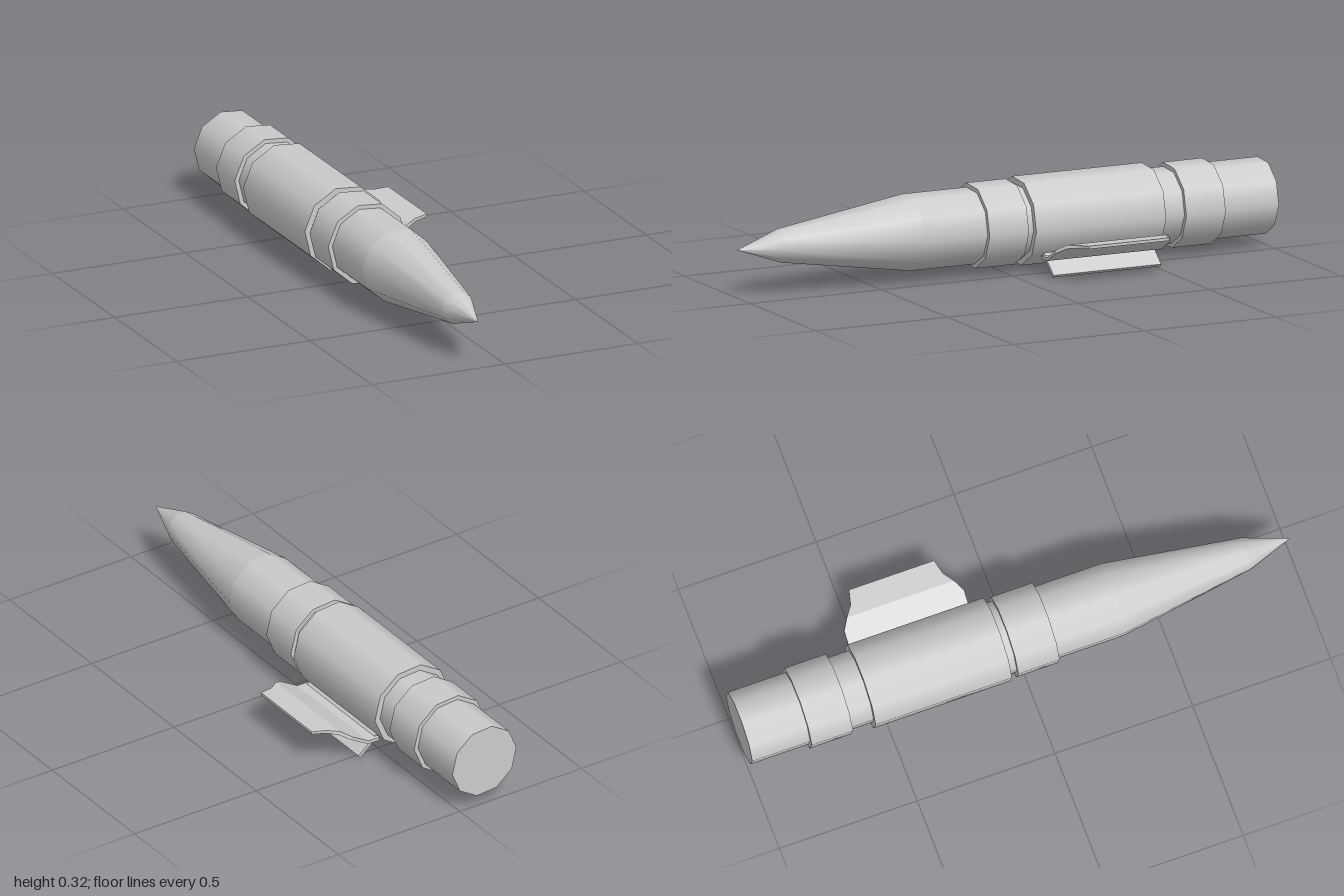
import * as THREE from 'three';

const material = new THREE.MeshStandardMaterial({ color: 0xcccccc });
const SIDES = 10;
const START = THREE.MathUtils.degToRad(85.5); // roll of the ten-sided body

// Ten-sided section along z, from zBack to zFront
function section(name, rBack, rFront, zBack, zFront, open = false) {
  const geo = new THREE.CylinderGeometry(rFront, rBack, zFront - zBack, SIDES, 1, open, START);
  geo.rotateX(Math.PI / 2);
  geo.translate(0, 0, (zFront + zBack) / 2);
  const mesh = new THREE.Mesh(geo, material);
  mesh.name = name;
  return mesh;
}

// Thin plate lofted through stations [xTop, yTop, xBottom, yBottom, zBack, zFront]
function plate(name, stations) {
  const rings = stations.map(([xt, yt, xb, yb, z0, z1]) => [
    [xt, yt, z0], [xt, yt, z1], [xb, yb, z1], [xb, yb, z0],
  ]);
  const pos = [];
  const quad = (a, b, c, d) => [a, b, c, a, c, d].forEach((p) => pos.push(...p));
  for (let i = 0; i < rings.length - 1; i++) {
    for (let k = 0; k < 4; k++) {
      const n = (k + 1) % 4;
      quad(rings[i][k], rings[i][n], rings[i + 1][n], rings[i + 1][k]);
    }
  }
  const end = rings[rings.length - 1];
  quad(...[...rings[0]].reverse());
  quad(...end);
  const geo = new THREE.BufferGeometry();
  geo.setAttribute('position', new THREE.Float32BufferAttribute(pos, 3));
  geo.computeVertexNormals();
  const mesh = new THREE.Mesh(geo, material);
  mesh.name = name;
  return mesh;
}

export function createModel() {
  const model = new THREE.Group();
  model.name = 'pointedTube';

  // Round body with tapering nose, bands and sleeve
  const body = new THREE.Group();
  body.name = 'body';
  body.position.set(-0.101, 0.169, 0);
  body.add(
    section('barrel', 0.132, 0.132, -1, 0.355),
    section('taper', 0.132, 0.058, 0.355, 0.84, true),
    section('tip', 0.058, 0, 0.84, 1, true),
    section('frontBand', 0.147, 0.147, -0.04, 0.11),
    section('sleeve', 0.153, 0.153, -0.56, -0.065),
    section('rearBand', 0.147, 0.147, -0.79, -0.64),
  );
  model.add(body);

  // Side clip: bent upper wing with a narrowed end, and a straight lower lip
  const clip = new THREE.Group();
  clip.name = 'clip';
  clip.add(
    plate('clipWing', [
      [0.015, 0.067, 0.018, 0.055, -0.535, -0.1],
      [0.06, 0.068, 0.064, 0.057, -0.535, -0.1],
      [0.127, 0.107, 0.133, 0.097, -0.535, -0.1],
      [0.163, 0.129, 0.168, 0.117, -0.512, -0.123],
      [0.2, 0.1325, 0.201, 0.1215, -0.485, -0.15],
      [0.252, 0.138, 0.252, 0.128, -0.472, -0.163],
    ]),
    plate('clipLip', [
      [0.018, 0.075, 0.009, 0.066, -0.52, -0.11],
      [0.092, 0.011, 0.084, 0.002, -0.52, -0.11],
    ]),
  );
  model.add(clip);

  return model;
}
